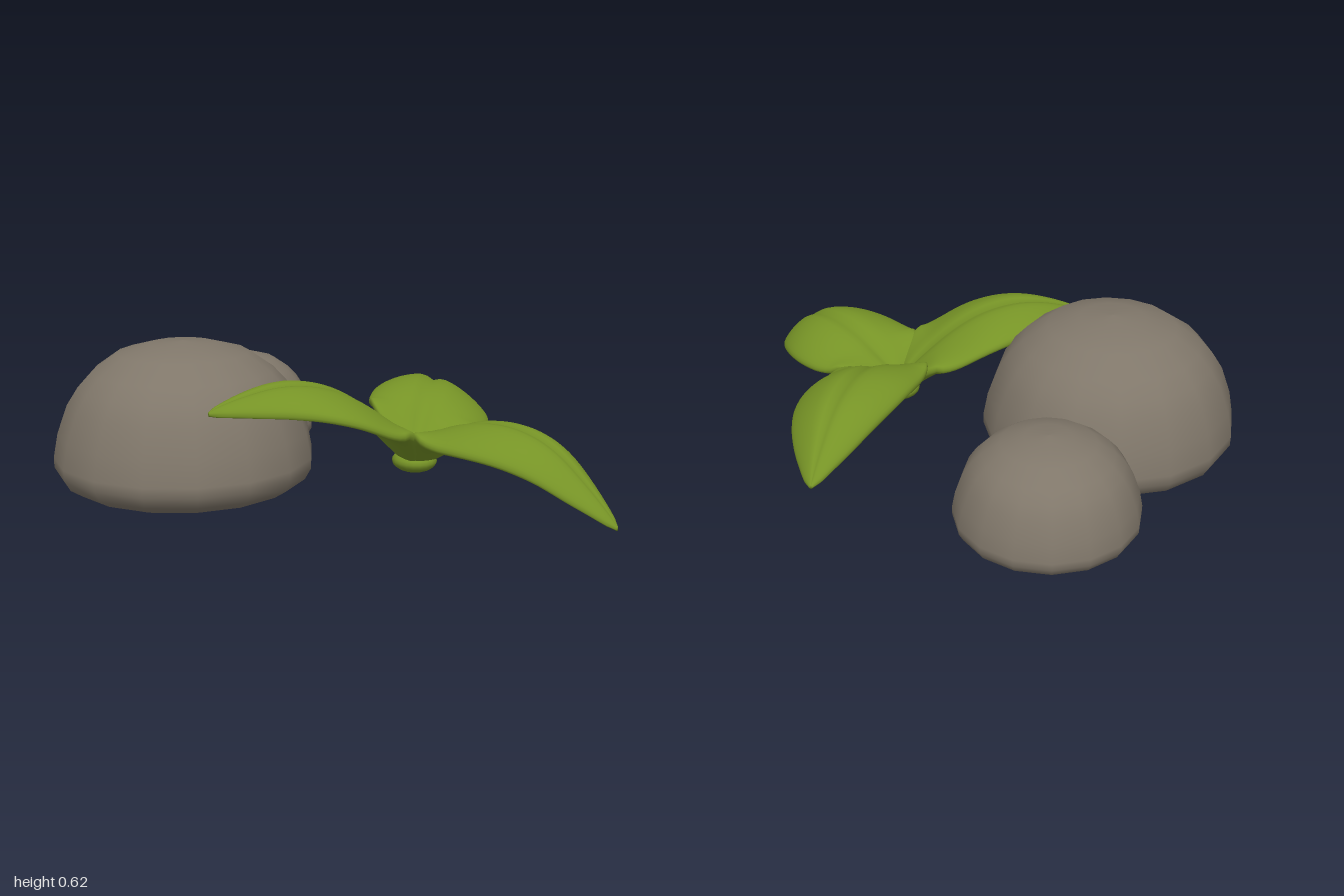
import * as THREE from 'three';

const stone = new THREE.MeshStandardMaterial({ color: 0x80776a });
const green = new THREE.MeshStandardMaterial({ color: 0x769326 });

// Smooth curve through [t, value] pairs
function profile(pairs) {
  const curve = new THREE.SplineCurve(pairs.map(([t, v]) => new THREE.Vector2(t, v)));
  const pts = curve.getPoints(300);
  return (t) => {
    let i = 1;
    while (i < pts.length - 1 && pts[i].x < t) i++;
    const a = pts[i - 1], b = pts[i];
    return a.y + (b.y - a.y) * THREE.MathUtils.clamp((t - a.x) / (b.x - a.x || 1), 0, 1);
  };
}

// Squat domed pebble with a shallow rounded underside
const rockProfile = [
  [0, -0.006], [0.2, 0], [0.35, 0.014], [0.45, 0.038], [0.5, 0.07], [0.525, 0.115], [0.526, 0.155],
  [0.507, 0.255], [0.465, 0.37], [0.42, 0.44], [0.365, 0.5], [0.265, 0.57], [0.135, 0.605], [0, 0.616],
].map(([r, y]) => new THREE.Vector2(r, y));

function rock(name, x, y, z, scale) {
  const mesh = new THREE.Mesh(new THREE.LatheGeometry(rockProfile, 16), stone);
  mesh.name = name;
  mesh.position.set(x, y, z);
  mesh.scale.setScalar(scale);
  return mesh;
}

const halfWidth = profile([[0, 0.015], [0.04, 0.11], [0.1, 0.182], [0.2, 0.23], [0.35, 0.245],
  [0.5, 0.232], [0.65, 0.192], [0.8, 0.13], [0.92, 0.066], [0.97, 0.036], [1, 0.008]]);
// Edge height relative to the midrib: cupped at the base, drooping further out
const cupping = profile([[0, 0], [0.08, 0.045], [0.15, 0.04], [0.3, 0], [1, 0]]);
const drooping = profile([[0, 0], [0.15, 0.15], [0.3, 0.75], [0.5, 1], [0.75, 0.75], [1, 0]]);

// Fleshy arched leaf: rounded cross-sections swept from the base to the tip
function leaf(name, { tip, bend, sag, tilt, heights }) {
  const base = new THREE.Vector2(0.42, 0.29);
  const dx = tip[0] - base.x, dz = tip[1] - base.y, length = Math.hypot(dx, dz);
  const crease = profile(heights);
  const rows = 32, ring = 48;
  const pos = [], index = [];
  for (let i = 0; i <= rows; i++) {
    const t = i / rows;
    const w = halfWidth(t), full = Math.min(1, w / 0.2);
    const edge = cupping(t) - sag * drooping(t);
    const thick = 0.04 * Math.sqrt(full);
    for (let j = 0; j < ring; j++) {
      // First half of the ring runs over the top, the second returns beneath
      const angle = (j / ring) * Math.PI * 2;
      const u = -Math.cos(angle), s = Math.sin(angle);
      let y = crease(t) - 0.018 + tilt * u * w / 0.24 + edge * u * u;
      y += Math.sign(s) * Math.abs(s) ** 0.7 * thick;
      if (s > 0) y -= 0.02 * full * Math.exp(-((u / 0.12) ** 2)); // midrib groove
      else y -= 0.045 * Math.max(0, 1 - t / 0.22) * (1 - u * u); // heavier base
      pos.push(t * length, y, u * w + bend * Math.sin(Math.PI * t));
    }
  }
  for (let i = 0; i < rows; i++) {
    for (let j = 0; j < ring; j++) {
      const a = i * ring + j, b = i * ring + (j + 1) % ring;
      index.push(a, b, a + ring, b, b + ring, a + ring);
    }
  }
  // Close both ends with a fan
  const last = rows * ring;
  for (let j = 1; j < ring - 1; j++) {
    index.push(0, j + 1, j, last, last + j, last + j + 1);
  }
  const geometry = new THREE.BufferGeometry();
  geometry.setAttribute('position', new THREE.Float32BufferAttribute(pos, 3));
  geometry.setIndex(index);
  geometry.computeVertexNormals();
  const mesh = new THREE.Mesh(geometry, green);
  mesh.name = name;
  mesh.position.set(base.x, 0, base.y);
  mesh.rotation.y = Math.atan2(-dz, dx);
  return mesh;
}

export function createModel() {
  const model = new THREE.Group();
  model.name = 'rocksAndPlant';

  // Two stones resting against each other
  model.add(rock('largeRock', -0.475, 0.01, 0.03, 1));
  model.add(rock('smallRock', -0.187, 0.03, -0.615, 0.685));

  // Three leaves spreading from one base
  const plant = new THREE.Group();
  plant.name = 'plant';
  plant.add(leaf('rightLeaf', {
    tip: [-0.42, 0.465], bend: -0.015, sag: 0.05, tilt: 0.005,
    heights: [[0, 0.2], [0.1, 0.275], [0.25, 0.38], [0.4, 0.455], [0.55, 0.492], [0.7, 0.497], [0.85, 0.475], [1, 0.44]],
  }));
  plant.add(leaf('backLeaf', {
    tip: [0.71, -0.54], bend: 0.045, sag: 0.075, tilt: -0.055,
    heights: [[0, 0.2], [0.1, 0.27], [0.25, 0.35], [0.4, 0.385], [0.55, 0.38], [0.7, 0.345], [0.85, 0.28], [1, 0.2]],
  }));
  plant.add(leaf('leftLeaf', {
    tip: [0.985, 0.965], bend: -0.035, sag: 0.075, tilt: 0.025,
    heights: [[0, 0.2], [0.1, 0.255], [0.25, 0.32], [0.4, 0.345], [0.55, 0.335], [0.7, 0.285], [0.85, 0.19], [1, 0.08]],
  }));

  // Rounded cup joining the leaf bases underneath
  const cup = new THREE.Mesh(new THREE.SphereGeometry(0.09, 20, 12), green);
  cup.name = 'leafBase';
  cup.scale.y = 0.52;
  cup.position.set(0.42, 0.158, 0.29);
  plant.add(cup);

  model.add(plant);
  return model;
}
